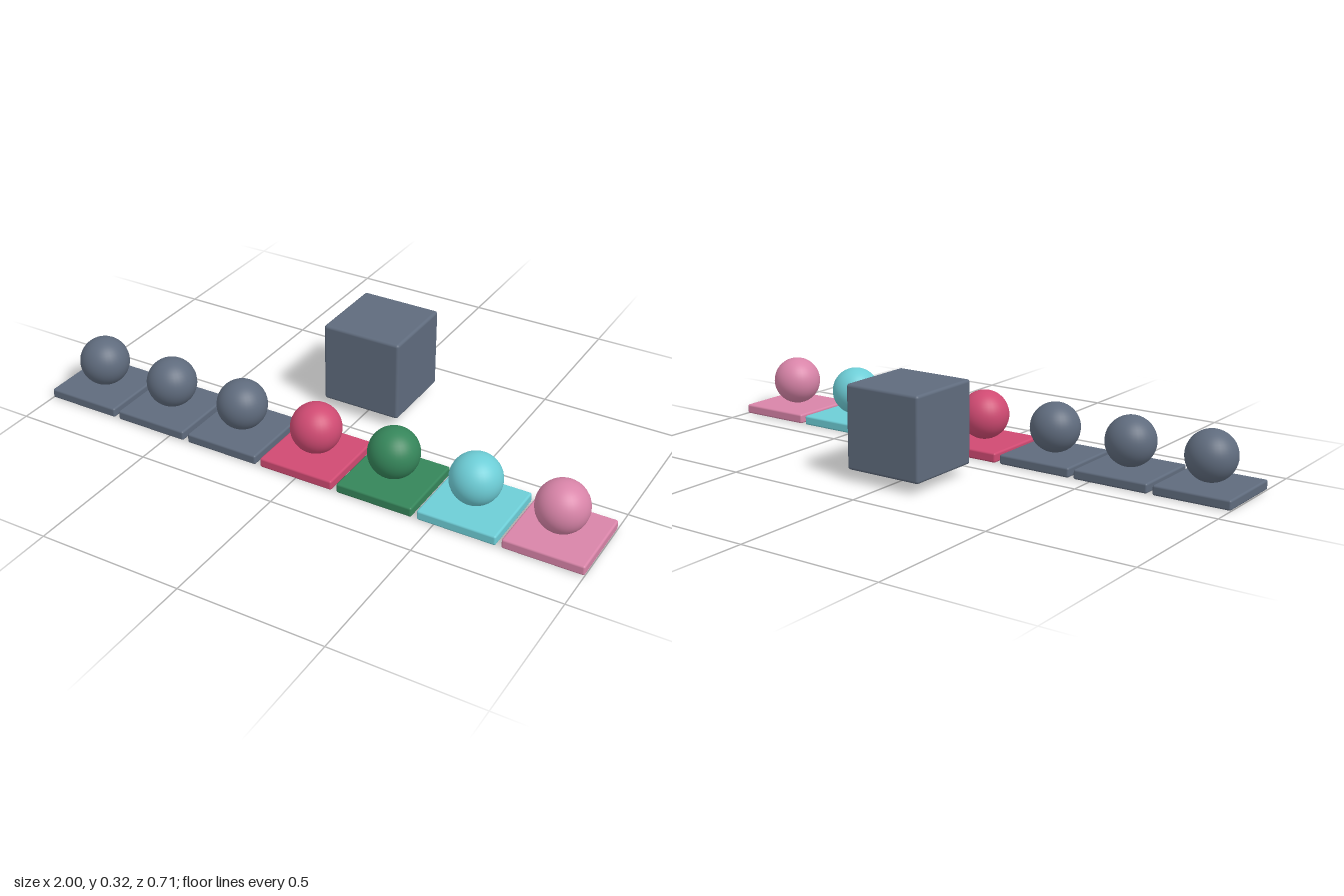
import * as THREE from 'three';
import { RoundedBoxGeometry } from 'three/addons/geometries/RoundedBoxGeometry.js';

function material(name, color) {
  const m = new THREE.MeshStandardMaterial({ color });
  m.name = name;
  return m;
}

export function createModel() {
  const model = new THREE.Group();
  model.name = 'ballRow';

  const slate = material('slate', 0x5f6b7d);
  const crimson = material('crimson', 0xcf4a72);
  const green = material('green', 0x35855a);
  const cyan = material('cyan', 0x6dcdd6);
  const pink = material('pink', 0xd884a8);

  const add = (parent, name, geometry, mat, x, y, z) => {
    const mesh = new THREE.Mesh(geometry, mat);
    mesh.name = name;
    mesh.position.set(x, y, z);
    parent.add(mesh);
  };

  // Row of tiles, each carrying a ball
  const tile = new RoundedBoxGeometry(0.27, 0.034, 0.27, 3, 0.007);
  const ball = new THREE.SphereGeometry(0.086, 32, 24);
  const spacing = 0.2883;
  [slate, slate, slate, crimson, green, cyan, pink].forEach((mat, i) => {
    const station = new THREE.Group();
    station.name = `station${i + 1}`;
    station.position.set((i - 3) * spacing, 0, 0.22);
    add(station, 'tile', tile, mat, 0, 0.017, 0);
    add(station, 'ball', ball, mat, 0, 0.122, 0);
    model.add(station);
  });

  // Floating cube behind the row
  const cube = new RoundedBoxGeometry(0.286, 0.286, 0.286, 3, 0.01);
  add(model, 'cube', cube, slate, 0, 0.18, -0.212);

  return model;
}
